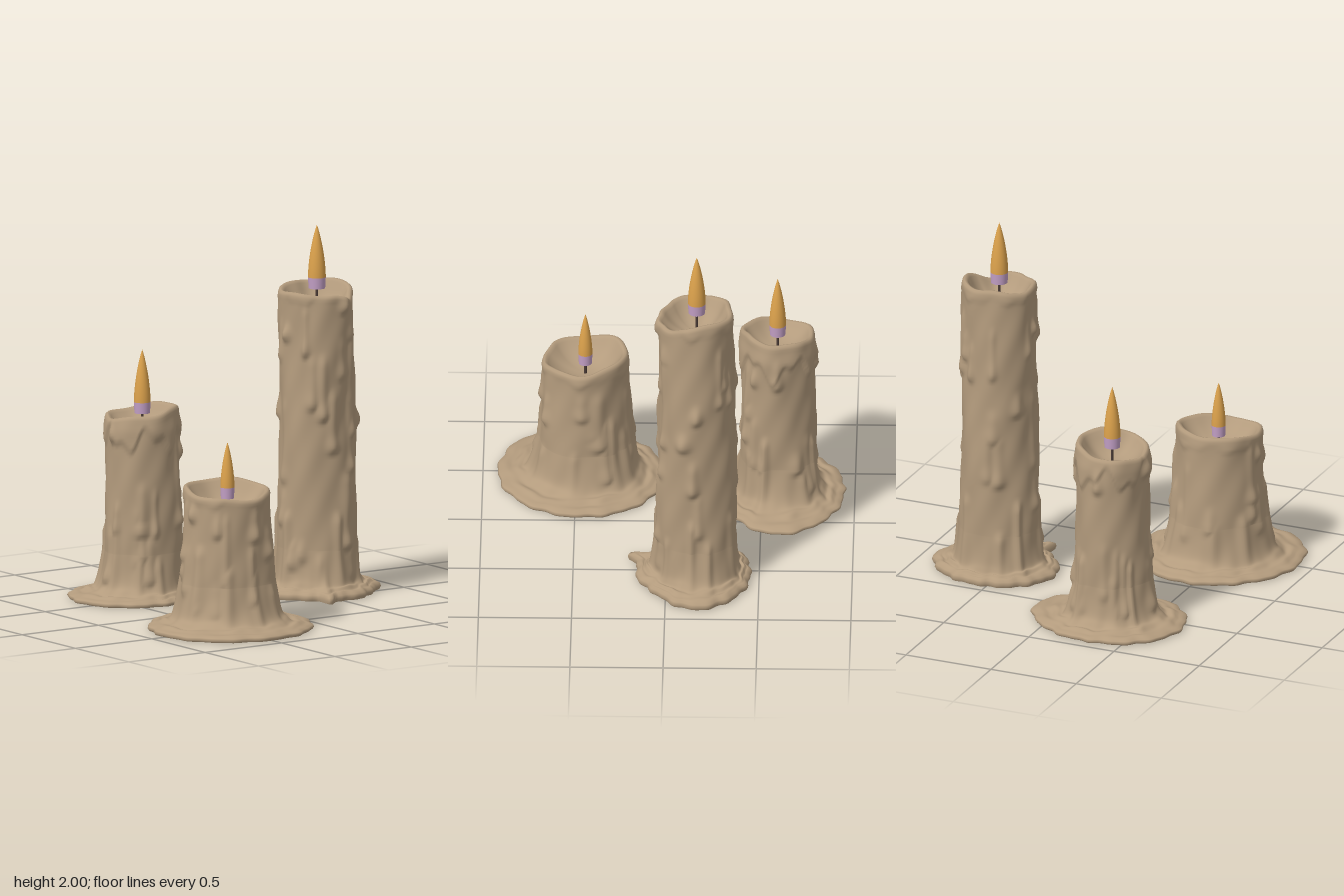
import * as THREE from 'three';

const SEG = 128, TAU = Math.PI * 2;
const { degToRad, lerp, smoothstep } = THREE.MathUtils;

const wax = new THREE.MeshStandardMaterial({ name: 'wax', color: 0xb39b7d });
const flameOrange = new THREE.MeshStandardMaterial({ name: 'flame orange', color: 0xdca24c });
const flameLilac = new THREE.MeshStandardMaterial({ name: 'flame lilac', color: 0xc3a0c6 });
const wickBrown = new THREE.MeshStandardMaterial({ name: 'wick brown', color: 0x4a3b36 });

function seeded(seed) {
  return () => (seed = (seed * 16807) % 2147483647) / 2147483647;
}

// Smooth closed interpolation of values spaced evenly round the circle
function around(values, a) {
  const n = values.length, f = a / TAU * n, i = Math.floor(f), t = f - i;
  const [p, q, r, s] = [-1, 0, 1, 2].map(k => values[(i + k + n) % n]);
  return q + 0.5 * t * (r - p + t * (2 * p - 5 * q + 4 * r - s + t * (3 * (q - r) + s - p)));
}

// Bell curve round the circle, centred on an angle in degrees
function bell(a, deg, width) {
  const d = Math.abs(a - degToRad(deg)) % TAU;
  return Math.exp(-((Math.min(d, TAU - d) / width) ** 2));
}

// Thickness added by one run of wax: a ridge that ends in a rounded bulb
function dripAt([deg, top, bottom, width = 0.13, height = 0.025], a, y) {
  const bulb = Math.exp(-(((y - bottom - 0.03) / 0.05) ** 2));
  const along = smoothstep(y, bottom - 0.025, bottom + 0.02) * (1 - smoothstep(y, top - 0.08, top));
  return height * bell(a, deg, width * (0.85 + 0.2 * bulb)) * (0.5 + 0.5 * bulb) * along;
}

// Closed wax surface: underside, puddle, foot, wall, rim and bowl
function waxGeometry(c) {
  const FOOT = 0.26, topY = c.height, rnd = seeded(c.seed);
  const drips = [...c.drips];
  for (let i = 0; i < c.runs; i++) {
    const top = 0.3 + rnd() * (topY - 0.3);
    drips.push([rnd() * 360, top, Math.max(0.1, top - 0.12 - rnd() * 0.35),
      0.09 + rnd() * 0.08, 0.012 + rnd() * 0.014]);
  }
  // thick runs that flow into the puddle
  for (let i = 0; i < 9; i++) {
    drips.push([i * 40 + rnd() * 25, 0.25 + rnd() * 0.25, -0.1, 0.1 + rnd() * 0.05, 0.025 + rnd() * 0.02]);
  }
  const rim = a => topY + c.tilt * Math.cos(a - degToRad(c.tiltDeg)) + 0.006 * Math.sin(4 * a + c.seed)
    - c.notch * bell(a, 55, 0.5);
  const wall = (a, y) => {
    let r = c.radius + c.spread * (1 - smoothstep(y, 0.1, topY * 0.9));
    r += 0.005 * Math.sin(3 * a + 4 * y + c.seed) + 0.004 * Math.sin(5 * a - 7 * y)
      + 0.002 * Math.sin(8 * a + 19 * y);
    // curtain of wax under the rim
    const hem = topY - c.curtain * (0.65 + 0.25 * Math.sin(5 * a + 1) + 0.15 * Math.sin(11 * a));
    r += 0.013 * smoothstep(y, hem - 0.025, hem + 0.015) * (1 - smoothstep(y, topY - 0.1, topY));
    return r + Math.max(...drips.map(d => dripAt(d, a, y)));
  };
  const edge = a => around(c.puddle, a) + 0.006 * Math.sin(13 * a + c.seed) + 0.004 * Math.sin(22 * a)
    + c.tongue * bell(a, 114, 0.09);

  // underside and puddle lip (the repeated ring keeps the edge crisp)
  const rings = [
    () => [0.0005, 0],
    a => [edge(a) - 0.008, 0],
    a => [edge(a) - 0.008, 0],
    a => [edge(a), c.lip * 0.4],
    a => [edge(a) - 0.006, c.lip * 0.8],
  ];
  // puddle top curving up into the wall
  for (let i = 1; i <= 26; i++) {
    const t = 1 - (1 - i / 26) ** 1.9;
    rings.push(a => {
      const lump = 0.007 * Math.sin(4 * a + 9 * t + c.seed) * Math.sin(7 * a - 5 * t)
        + 0.004 * Math.sin(17 * t + 3 * a);
      const y = c.lip + 0.035 * t + lump * Math.sin(Math.PI * t) + (FOOT - c.lip - 0.035) * t ** 9;
      return [lerp(edge(a) - 0.015, wall(a, y), t), y];
    });
  }
  // wall
  const rows = Math.round((topY - FOOT) / 0.018);
  for (let i = 1; i <= rows; i++) {
    rings.push(a => {
      const y = lerp(FOOT, rim(a) - 0.022, i / rows);
      return [wall(a, y), y];
    });
  }
  // rounded rim
  for (const [inset, drop] of [[0.004, 0.008], [0.014, 0], [0.026, 0.003], [0.036, 0.015]]) {
    rings.push(a => [wall(a, rim(a) - 0.022) - inset, rim(a) - drop]);
  }
  // bowl
  for (let i = 1; i <= 10; i++) {
    const t = i / 10;
    rings.push(a => [(wall(a, rim(a) - 0.022) - 0.036) * (1 - t) + 0.0005,
      lerp(rim(a) - 0.015, c.floor, 1 - (1 - t) ** 2.6)]);
  }

  const pos = [], index = [];
  rings.forEach((f, i) => {
    for (let j = 0; j < SEG; j++) {
      const a = j / SEG * TAU, [r, y] = f(a);
      pos.push(r * Math.cos(a), y, r * Math.sin(a));
      if (i === rings.length - 1) continue;
      const p = i * SEG + j, q = i * SEG + (j + 1) % SEG;
      index.push(p, p + SEG, q, q, p + SEG, q + SEG);
    }
  });
  const g = new THREE.BufferGeometry();
  g.setAttribute('position', new THREE.Float32BufferAttribute(pos, 3));
  g.setIndex(index);
  g.computeVertexNormals();
  return g;
}

function addMesh(group, name, geometry, material) {
  const m = new THREE.Mesh(geometry, material);
  m.name = name;
  group.add(m);
  return m;
}

function candle(c) {
  const g = new THREE.Group();
  g.name = c.name;
  addMesh(g, 'waxBody', waxGeometry(c), wax);
  const { flameBottom, flameTip, flameRadius: r } = c, band = flameBottom + 0.06;
  addMesh(g, 'wick', new THREE.CylinderGeometry(0.007, 0.008, flameBottom - c.floor + 0.04, 10), wickBrown)
    .position.y = (flameBottom + c.floor) / 2;
  addMesh(g, 'flameBase', new THREE.CylinderGeometry(r, r * 0.93, 0.06, 32), flameLilac)
    .position.y = band - 0.03;
  // flame narrows by a power rule to its tip
  const profile = [];
  for (let i = 0; i <= 14; i++) {
    const t = i / 14;
    profile.push(new THREE.Vector2(r * (1 - t ** 1.7) ** 0.9, lerp(band, flameTip, t)));
  }
  addMesh(g, 'flame', new THREE.LatheGeometry(profile, 32), flameOrange);
  g.position.set(c.x, 0, c.z);
  return g;
}

// puddle: outline radii every 45 degrees from +x towards +z; drips: [degrees, top, bottom]
export function createModel() {
  const model = new THREE.Group();
  model.name = 'meltedCandles';
  model.add(candle({
    name: 'shortCandle', x: -0.47, z: 0.45, seed: 11, radius: 0.232, spread: 0.025, lip: 0.028,
    height: 0.757, tilt: 0.024, tiltDeg: 285, notch: 0, curtain: 0.06, floor: 0.64, runs: 14, tongue: 0,
    flameBottom: 0.705, flameTip: 1.01, flameRadius: 0.038,
    puddle: [0.45, 0.46, 0.47, 0.48, 0.45, 0.42, 0.43, 0.44],
    drips: [[85, 0.7, 0.5], [60, 0.6, 0.4], [180, 0.72, 0.6]],
  }));
  model.add(candle({
    name: 'mediumCandle', x: -0.305, z: -0.585, seed: 29, radius: 0.196, spread: 0.008, lip: 0.026,
    height: 1.015, tilt: 0.028, tiltDeg: 30, notch: 0, curtain: 0.2, floor: 0.91, runs: 18, tongue: 0,
    flameBottom: 1.0, flameTip: 1.345, flameRadius: 0.045,
    puddle: [0.445, 0.35, 0.33, 0.38, 0.41, 0.39, 0.36, 0.39],
    drips: [[0, 0.97, 0.77], [180, 0.98, 0.86], [55, 0.9, 0.4], [270, 0.96, 0.8]],
  }));
  model.add(candle({
    name: 'tallCandle', x: 0.545, z: -0.165, seed: 47, radius: 0.2, spread: 0.012, lip: 0.04,
    height: 1.663, tilt: 0.014, tiltDeg: 320, notch: 0.055, curtain: 0.06, floor: 1.53, runs: 24, tongue: 0.1,
    flameBottom: 1.655, flameTip: 2, flameRadius: 0.048,
    puddle: [0.37, 0.31, 0.33, 0.305, 0.335, 0.31, 0.29, 0.32],
    drips: [[60, 1.45, 0.86], [80, 1.66, 1.55], [180, 1.5, 1.39], [0, 1.2, 1.07], [5, 0.85, 0.62]],
  }));
  return model;
}
